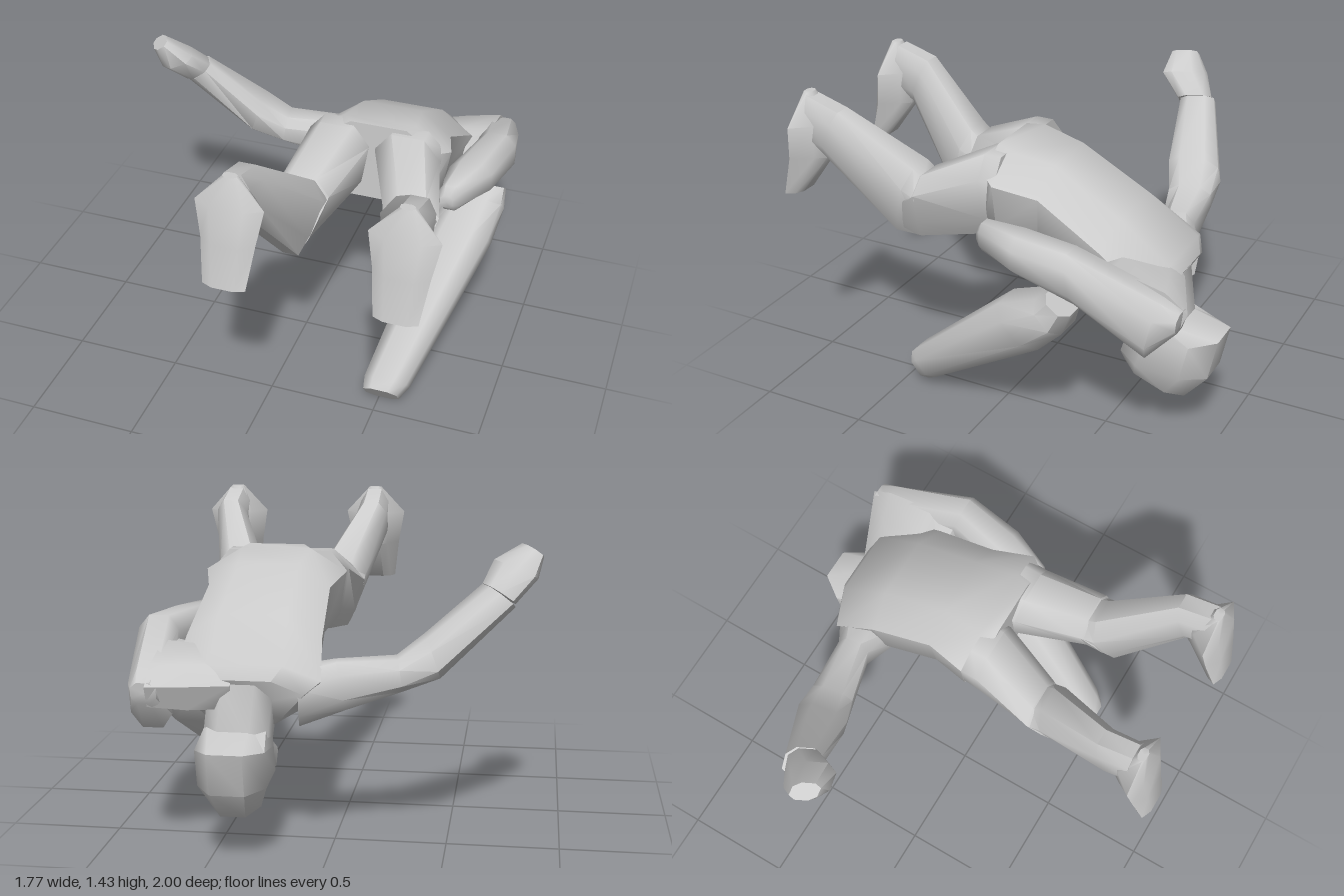
import * as THREE from 'three';
import { toCreasedNormals } from 'three/addons/utils/BufferGeometryUtils.js';

const V = (p) => new THREE.Vector3(...p);
const X = [1, 0, 0];
// Rounded-square cross-section shared by every body part
const RING = [[1, 0.5], [0.5, 1], [-0.5, 1], [-1, 0.5], [-1, -0.5], [-0.5, -1], [0.5, -1], [1, -0.5]];

// Lofts a closed skin through sections
// [upper point, lower point, half width, side direction, width factor of the lower half]
function loft(sections) {
  const n = RING.length, pos = [], idx = [], mids = [];
  for (const [top, bottom, w, side = X, taper = 1] of sections) {
    const a = V(top), b = V(bottom);
    const mid = a.clone().add(b).multiplyScalar(0.5);
    const v = a.sub(b).multiplyScalar(0.5);
    const u = V(side).normalize().multiplyScalar(w);
    mids.push(mid);
    for (const [s, t] of RING) {
      const k = t < 0 ? s * taper : s;
      pos.push(...mid.clone().addScaledVector(u, k).addScaledVector(v, t).toArray());
    }
  }
  const last = sections.length - 1, c0 = pos.length / 3, c1 = c0 + 1;
  pos.push(...mids[0].toArray(), ...mids[last].toArray());
  for (let j = 0; j < n; j++) {
    const k = (j + 1) % n;
    for (let i = 0; i < last; i++) {
      const a = i * n + j, b = i * n + k;
      idx.push(a, b, b + n, a, b + n, a + n);
    }
    idx.push(c0, k, j, c1, last * n + j, last * n + k);
  }
  // Turn the skin outward if its enclosed volume is negative
  let volume = 0;
  const at = (i) => new THREE.Vector3().fromArray(pos, i * 3);
  for (let i = 0; i < idx.length; i += 3) {
    volume += at(idx[i]).dot(at(idx[i + 1]).cross(at(idx[i + 2])));
  }
  if (volume < 0) idx.reverse();
  const g = new THREE.BufferGeometry();
  g.setAttribute('position', new THREE.Float32BufferAttribute(pos, 3));
  g.setIndex(idx);
  return toCreasedNormals(g, 0.95);
}

export function createModel() {
  const model = new THREE.Group();
  const material = new THREE.MeshStandardMaterial({ color: 0xcccccc });
  const add = (name, sections) => {
    const mesh = new THREE.Mesh(loft(sections), material);
    mesh.name = name;
    model.add(mesh);
  };

  // Torso, from the hips down to the shoulders
  add('torso', [
    [[0.35, 1.25, 0.04], [0.34, 0.87, 0.05], 0.26],
    [[0.34, 1.24, -0.03], [0.34, 0.83, -0.03], 0.33, X, 0.9],
    [[0.34, 1.2, -0.23], [0.34, 0.78, -0.2], 0.28, X, 0.9],
    [[0.35, 1.03, -0.55], [0.35, 0.63, -0.46], 0.3, X, 0.9],
    [[0.34, 0.86, -0.78], [0.36, 0.57, -0.58], 0.32, X, 0.75],
    [[0.36, 0.8, -0.81], [0.37, 0.54, -0.65], 0.27, X, 0.6],
  ]);

  // Neck and head hanging forward
  add('neck', [
    [[0.37, 0.78, -0.8], [0.37, 0.6, -0.6], 0.14],
    [[0.39, 0.54, -0.84], [0.39, 0.48, -0.6], 0.14],
  ]);
  add('head', [
    [[0.39, 0.6, -0.77], [0.39, 0.6, -0.61], 0.13],
    [[0.39, 0.53, -1.0], [0.39, 0.47, -0.58], 0.15],
    [[0.39, 0.34, -0.96], [0.39, 0.37, -0.55], 0.15],
    [[0.39, 0.21, -0.85], [0.39, 0.32, -0.56], 0.11],
  ]);

  // Bent legs: hip, knee, ankle and foot centres differ per side
  const legs = [
    ['right', 0.16, 0.095, -0.02, -0.02, 0.0],
    ['left', 0.49, 0.59, 0.71, 0.705, -0.02],
  ];
  for (const [side, hip, knee, ankle, foot, dz] of legs) {
    add(side + 'Thigh', [
      [[hip, 1.23, -0.02], [hip, 0.88, -0.05], 0.15, X, 0.8],
      [[hip, 1.23, 0.06], [hip, 0.85, 0.04], 0.15, X, 0.8],
      [[knee, 1.11, 0.33], [knee, 0.8, 0.36], 0.125, X, 0.6],
      [[knee, 1.04, 0.39], [knee, 0.8, 0.45], 0.11, X, 0.6],
    ]);
    add(side + 'Shin', [
      [[knee, 1.09, 0.32], [knee, 0.8, 0.38], 0.12, X, 0.6],
      [[knee, 1.13, 0.37], [knee, 0.8, 0.49], 0.12, X, 0.6],
      [[ankle, 1.37, 0.68], [ankle, 1.16, 0.77], 0.075],
      [[ankle, 1.42, 0.84], [ankle, 1.18, 0.85], 0.07],
    ]);
    // Foot hangs from the heel, wide at the sole and narrow at the instep
    add(side + 'Foot', [
      [[foot, 1.43, 0.89 + dz], [foot, 1.43, 0.85 + dz], 0.03],
      [[foot, 1.3, 0.93 + dz], [foot, 1.3, 0.77 + dz], 0.15, X, 0.55],
      [[foot, 1.14, 0.965 + dz], [foot, 1.14, 0.78 + dz], 0.12, X, 0.55],
      [[foot, 0.95, 1.0 + dz], [foot, 0.95, 0.92 + dz], 0.095, X, 0.8],
    ]);
  }

  // Right arm stretched out and raised
  const across = [0.15, 0, 1], wrist = [0.5, 0, 1];
  add('rightArm', [
    [[0.14, 0.82, -0.64], [0.14, 0.57, -0.6], 0.14, across],
    [[-0.02, 0.85, -0.6], [-0.06, 0.64, -0.6], 0.075, across],
    [[-0.28, 0.86, -0.55], [-0.3, 0.72, -0.55], 0.1, across],
    [[-0.4, 0.95, -0.51], [-0.46, 0.78, -0.52], 0.12, across],
    [[-0.65, 1.16, -0.42], [-0.76, 1.07, -0.4], 0.08, wrist],
  ]);
  add('rightHand', [
    [[-0.65, 1.16, -0.41], [-0.76, 1.08, -0.38], 0.08, wrist],
    [[-0.7, 1.25, -0.32], [-0.85, 1.18, -0.3], 0.1, wrist],
    [[-0.81, 1.32, -0.28], [-0.88, 1.27, -0.28], 0.06, wrist],
  ]);

  // Left shoulder bridging the back and the upper arm
  const thick = [0, 1, -0.4];
  add('leftShoulder', [
    [[0.4, 0.72, -0.79], [0.4, 0.78, -0.45], 0.12, thick],
    [[0.58, 0.73, -0.87], [0.58, 0.82, -0.46], 0.12, thick],
    [[0.73, 0.75, -0.94], [0.73, 0.86, -0.47], 0.1, thick],
  ]);

  // Left upper arm folded back along the body
  add('leftArm', [
    [[0.74, 0.81, -0.94], [0.74, 0.72, -0.93], 0.055],
    [[0.74, 0.85, -0.86], [0.74, 0.58, -0.8], 0.09],
    [[0.79, 1.0, -0.47], [0.79, 0.78, -0.5], 0.09],
    [[0.73, 0.99, -0.2], [0.73, 0.82, -0.2], 0.1],
    [[0.685, 0.98, 0.0], [0.685, 0.85, 0.0], 0.05],
    [[0.675, 0.94, 0.03], [0.675, 0.88, 0.03], 0.03],
  ]);

  // Long tapered limb reaching from the left elbow to the ground
  add('leftLowerLimb', [
    [[0.76, 0.78, -0.36], [0.76, 0.7, -0.47], 0.1],
    [[0.73, 0.73, -0.3], [0.74, 0.6, -0.43], 0.13],
    [[0.7, 0.65, -0.11], [0.7, 0.47, -0.3], 0.145],
    [[0.53, 0.16, 0.45], [0.54, 0.04, 0.34], 0.1],
    [[0.52, 0.12, 0.49], [0.52, 0.0, 0.4], 0.08],
  ]);

  return model;
}
